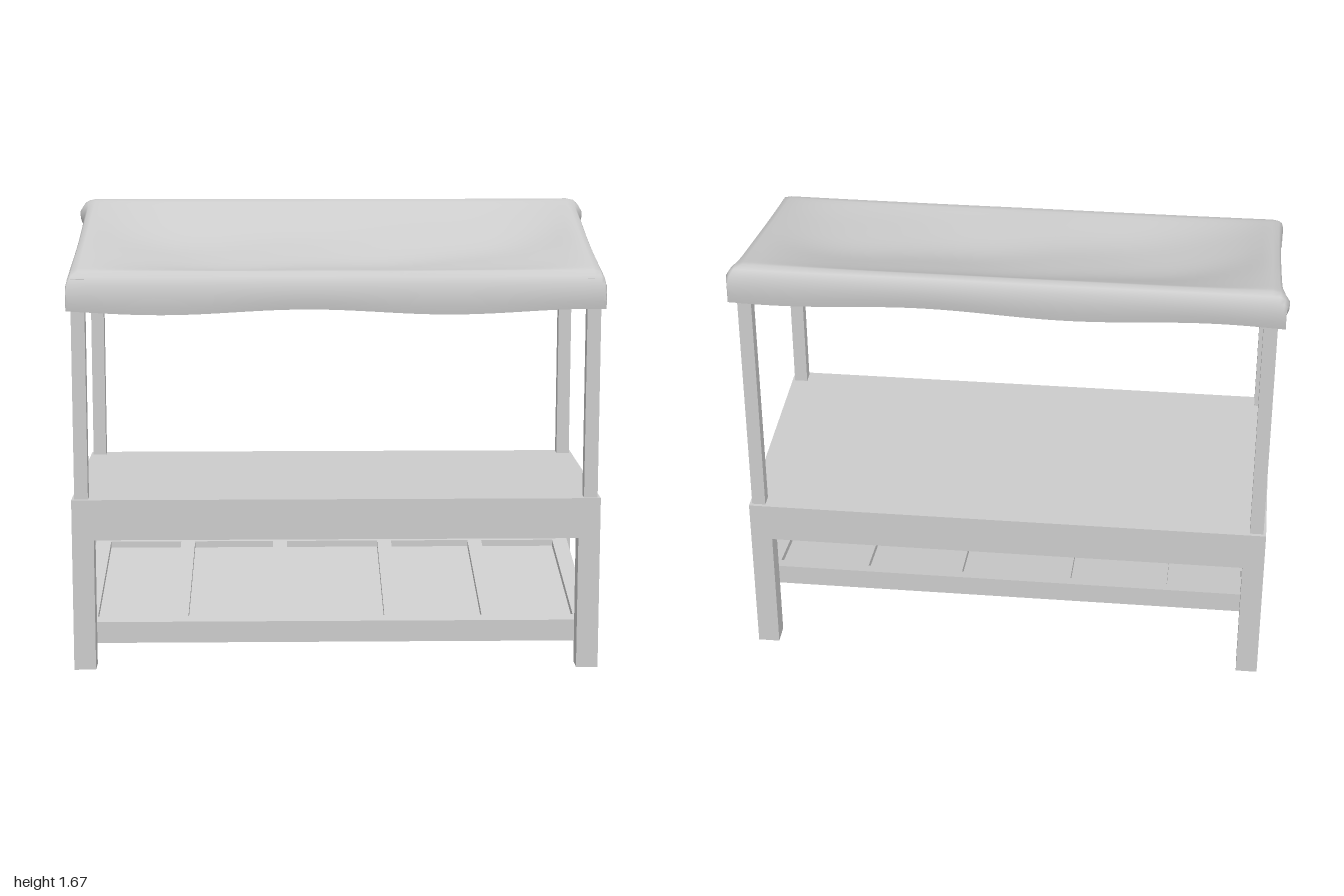
import * as THREE from 'three';

const material = new THREE.MeshStandardMaterial({ color: 0xcccccc });
const clothMaterial = new THREE.MeshStandardMaterial({ color: 0xcccccc, side: THREE.DoubleSide });

// Box given by its limits, optionally sheared upward along z by a rule
function addBox(parent, name, [x0, x1], [y0, y1], [z0, z1], lift = null) {
  const geo = new THREE.BoxGeometry(x1 - x0, y1 - y0, z1 - z0);
  geo.translate((x0 + x1) / 2, (y0 + y1) / 2, (z0 + z1) / 2);
  if (lift) {
    const p = geo.attributes.position;
    for (let i = 0; i < p.count; i++) p.setY(i, p.getY(i) + lift(p.getZ(i)));
    geo.computeVertexNormals();
  }
  const mesh = new THREE.Mesh(geo, material);
  mesh.name = name;
  parent.add(mesh);
}

const mirror = (side, a, b) => (side > 0 ? [a, b] : [-b, -a]);
const shelfLift = (z) => 0.08 + 0.181 * (0.41 - z);
const roofLine = (z) => 1.573 - 0.215 * z;

// Positions and drops across the cloth: hem, rolled edge, flat middle, mirrored
function clothProfile(edge, steps) {
  const inner = edge[edge.length - 1][0];
  const list = edge.map(([p, d]) => [-p, d]);
  for (let i = 1; i < steps; i++) list.push([-inner + (2 * inner * i) / steps, 0]);
  return list.concat(edge.map(([p, d]) => [p, d]).reverse());
}

function clothGeometry() {
  const xs = clothProfile([[0.968, 0.1], [0.976, 0.075], [0.978, 0.05], [0.972, 0.025], [0.96, 0.008], [0.935, 0]], 48);
  const zs = clothProfile([[0.484, 0.14], [0.489, 0.11], [0.49, 0.075], [0.484, 0.04], [0.47, 0.015], [0.445, 0.002], [0.42, 0]], 28);
  const pos = [], index = [];
  for (const [z, dz] of zs) {
    for (const [x, dx] of xs) {
      // Sag between the frame beams, with soft wrinkles
      const sag = Math.max(0, 1 - Math.abs(x / 0.92) ** 4) * Math.max(0, Math.cos((Math.PI * z) / 0.9));
      const wrinkle = 0.007 * Math.sin(7 * x + 5 * z) * Math.sin(9 * z - 3 * x + 1);
      const drop = Math.max(dx, dz);
      const wave = drop * 0.07 * Math.sin(6 * x + 9 * z + 1);
      // Sides draw in at the middle and flare at the rear corners
      const rear = Math.exp(-(((z + 0.43) / 0.06) ** 2));
      const side = Math.min(1, dx / 0.05);
      const px = x + Math.sign(x) * side * (0.022 * rear - 0.012 * Math.cos(Math.PI * z));
      pos.push(px, roofLine(z) - drop - wave - sag * (0.088 + wrinkle * 1.2), z);
    }
  }
  const n = xs.length;
  for (let j = 0; j < zs.length - 1; j++) {
    for (let i = 0; i < n - 1; i++) {
      const a = j * n + i, b = a + 1, c = a + n, d = c + 1;
      index.push(a, c, b, b, c, d);
    }
  }
  const geo = new THREE.BufferGeometry();
  geo.setAttribute('position', new THREE.Float32BufferAttribute(pos, 3));
  geo.setIndex(index);
  geo.computeVertexNormals();
  return geo;
}

export function createModel() {
  const model = new THREE.Group();
  model.name = 'marketStall';

  // Counter with its deep apron
  addBox(model, 'counter', [-0.97, 0.97], [0.49, 0.64], [-0.47, 0.49]);

  for (const side of [1, -1]) {
    // Legs
    addBox(model, 'frontLeg', mirror(side, 0.89, 0.97), [0, 0.49], [0.41, 0.49]);
    addBox(model, 'backLeg', mirror(side, 0.89, 0.97), [0, 0.49], [-0.47, -0.39]);
    // Roof posts, tops cut to the roof slope
    addBox(model, 'frontPost', mirror(side, 0.91, 0.96), [0.64, 1.45], [0.425, 0.475]);
    addBox(model, 'backPost', mirror(side, 0.91, 0.96), [0.64, 1.64], [-0.457, -0.407]);
    // Sloping roof beams
    addBox(model, 'sideRoofBeam', mirror(side, 0.912, 0.958), [-0.065, -0.015], [-0.407, 0.425], roofLine);
    // Shelf side rails
    addBox(model, 'shelfSideRail', mirror(side, 0.89, 0.95), [0, 0.08], [-0.39, 0.41], shelfLift);
  }
  addBox(model, 'frontRoofBeam', [-0.91, 0.91], [1.405, 1.45], [0.428, 0.472]);
  addBox(model, 'backRoofBeam', [-0.91, 0.91], [1.595, 1.64], [-0.454, -0.41]);

  // Tilted shelf: floor, rails and dividers
  addBox(model, 'shelfFloor', [-0.89, 0.89], [0, 0.055], [-0.34, 0.36], shelfLift);
  addBox(model, 'shelfFrontRail', [-0.89, 0.89], [0, 0.08], [0.36, 0.41], shelfLift);
  addBox(model, 'shelfBackRail', [-0.89, 0.89], [0, 0.08], [-0.39, -0.34], shelfLift);
  for (const x of [-0.58, -0.21, 0.21, 0.575]) {
    addBox(model, 'shelfDivider', [x - 0.028, x + 0.028], [0.055, 0.08], [-0.34, 0.36], shelfLift);
  }

  // Draped cloth roof
  const cloth = new THREE.Mesh(clothGeometry(), clothMaterial);
  cloth.name = 'clothRoof';
  model.add(cloth);

  return model;
}
